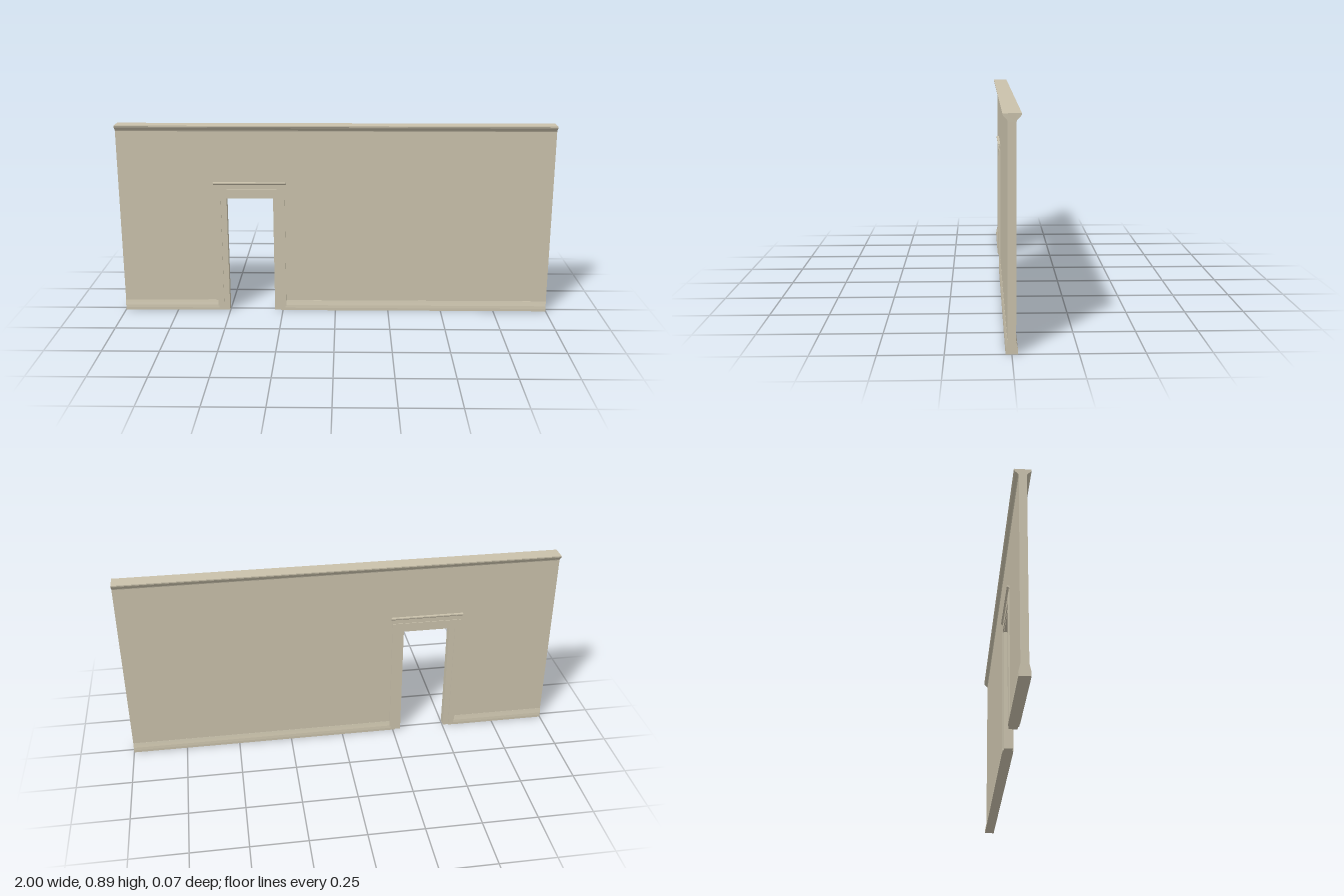
import * as THREE from 'three';

const H = 0.893, T = 0.016;                    // wall height and half thickness
const DOOR = { l: -0.503, r: -0.288, top: 0.55 };

export function createModel() {
  const group = new THREE.Group();
  const plaster = new THREE.MeshStandardMaterial({ color: 0xc9c1ab });
  plaster.name = 'warm plaster';

  const add = (name, geometry) => {
    const mesh = new THREE.Mesh(geometry, plaster);
    mesh.name = name;
    group.add(mesh);
  };

  // Runs a front/back symmetric moulding along x; points are [half depth, y] going up
  const moulding = (name, pts, x0, x1) => {
    const outline = [...pts, ...pts.slice().reverse().map(([z, y]) => [-z, y])];
    const shape = new THREE.Shape(outline.map(([z, y]) => new THREE.Vector2(z, y)));
    const geo = new THREE.ExtrudeGeometry(shape, { depth: x1 - x0, bevelEnabled: false });
    add(name, geo.rotateY(Math.PI / 2).translate(x0, 0, 0));
  };

  // Door-shaped arch (two legs and a head) between an outer and an inner offset
  const arch = (name, outer, inner, outerTop, innerTop, halfDepth) => {
    const { l, r } = DOOR;
    const shape = new THREE.Shape([
      [l - outer, 0], [l - inner, 0], [l - inner, innerTop], [r + inner, innerTop],
      [r + inner, 0], [r + outer, 0], [r + outer, outerTop], [l - outer, outerTop],
    ].map(([x, y]) => new THREE.Vector2(x, y)));
    const geo = new THREE.ExtrudeGeometry(shape, { depth: halfDepth * 2, bevelEnabled: false });
    add(name, geo.translate(0, 0, -halfDepth));
  };

  // Wall with the doorway cut out
  const wall = new THREE.Shape([
    [-1, 0], [DOOR.l, 0], [DOOR.l, DOOR.top], [DOOR.r, DOOR.top],
    [DOOR.r, 0], [1, 0], [1, H - 0.002], [-1, H - 0.002],
  ].map(([x, y]) => new THREE.Vector2(x, y)));
  add('wall', new THREE.ExtrudeGeometry(wall, { depth: T * 2, bevelEnabled: false }).translate(0, 0, -T));

  // Crown moulding with a coved underside
  moulding('crownMoulding', [
    [T, 0.864], [0.0175, 0.868], [0.021, 0.873], [0.027, 0.878],
    [0.031, 0.882], [0.033, 0.886], [0.035, 0.888], [0.035, H],
  ], -1, 1);

  // Baseboards either side of the door
  const base = [[0.0235, 0], [0.0235, 0.012], [0.022, 0.025], [0.019, 0.037], [T + 0.0005, 0.048]];
  moulding('baseboardRight', base, -1, DOOR.l - 0.05);
  moulding('baseboardLeft', base, DOOR.r + 0.05, 1);

  // Stepped door casing
  arch('casingInner', 0.028, 0, 0.565, DOOR.top, 0.0185);
  arch('casingOuter', 0.054, 0.027, 0.595, 0.563, 0.0225);

  // Frieze and projecting cap above the door
  const x0 = DOOR.l - 0.054, x1 = DOOR.r + 0.054;
  moulding('doorFrieze', [[0.0195, 0.59], [0.0195, 0.619]], x0, x1);
  moulding('doorCap', [[0.02, 0.615], [0.0235, 0.619], [0.028, 0.622], [0.028, 0.627]], x0 - 0.006, x1 + 0.006);

  return group;
}
